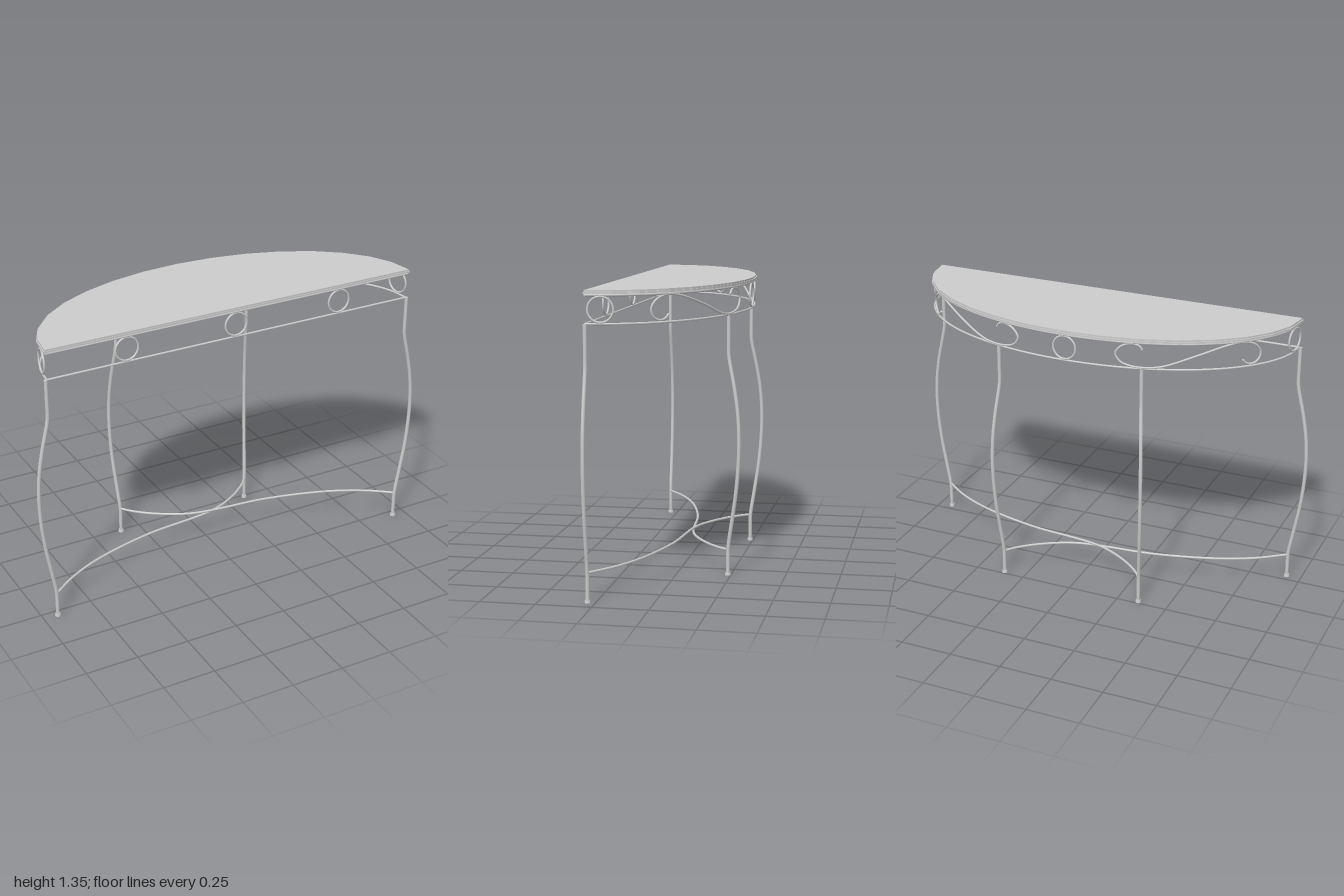
import * as THREE from 'three';

const material = new THREE.MeshStandardMaterial({ color: 0xcccccc });
const V = (x, y, z) => new THREE.Vector3(x, y, z);
const FRONT = 0.285;       // z of the straight edge
const A = 0.925, B = 0.574; // half width and depth of the half oval frame

// Point on the half oval at angle t (0 = +x end, PI = -x end)
const oval = (t, y, grow = 0) => V((A + grow) * Math.cos(t), y, FRONT - (B + grow) * Math.sin(t));

export function createModel() {
  const model = new THREE.Group();

  function add(name, geometry, parent = model) {
    const mesh = new THREE.Mesh(geometry, material);
    mesh.name = name;
    parent.add(mesh);
    return mesh;
  }

  // Round bar along a smooth curve, closed with caps
  function bar(name, points, radius, segments, parent = model, sides = 8) {
    const curve = new THREE.CatmullRomCurve3(points, false, 'centripetal');
    add(name, new THREE.TubeGeometry(curve, segments, radius, sides), parent);
    for (const u of [0, 1]) {
      const cap = add(name + 'End', new THREE.CircleGeometry(radius, sides), parent);
      cap.position.copy(curve.getPointAt(u));
      const out = curve.getTangentAt(u).multiplyScalar(u ? 1 : -1);
      cap.quaternion.setFromUnitVectors(V(0, 0, 1), out);
    }
  }

  // Half oval plate, extruded upwards
  function plate(name, grow, y, height) {
    const outline = [];
    for (let i = 0; i <= 16; i++) {
      const p = oval(Math.PI * i / 16, 0, grow);
      outline.push(new THREE.Vector2(p.x, -p.z - (i % 16 ? 0 : grow * 0.5)));
    }
    const geometry = new THREE.ExtrudeGeometry(new THREE.Shape(outline), { depth: height, bevelEnabled: false });
    geometry.rotateX(-Math.PI / 2);
    add(name, geometry).position.y = y;
  }
  plate('tabletopLip', 0.011, 1.334, 0.008);
  plate('tabletop', 0.006, 1.342, 0.008);

  // Upper and lower frame rails: half oval plus straight front bar
  for (const [name, y, r] of [['upperRail', 1.329, 0.006], ['lowerRail', 1.207, 0.005]]) {
    const points = [];
    for (let i = 0; i <= 16; i++) points.push(oval(Math.PI * i / 16, y));
    bar(name + 'Curved', points, r, 48);
    bar(name + 'Front', [V(-A, y, FRONT), V(A, y, FRONT)], r, 1);
  }

  // Rings between the rails
  function ring(name, position, turn = 0) {
    const mesh = add(name, new THREE.TorusGeometry(0.055, 0.005, 8, 28));
    mesh.position.copy(position);
    mesh.rotation.y = turn;
  }
  const ringY = 1.268;
  for (const x of [-0.545, 0, 0.545]) ring('frontRing', V(x, ringY, FRONT));
  for (const t of [0.113, Math.PI / 2, Math.PI - 0.113]) {
    ring('curvedSideRing', oval(t, ringY), Math.atan2(B * Math.cos(t), -A * Math.sin(t)));
  }

  // S scroll as x, y pairs, laid onto the half oval
  const scroll = [
    [0.36, 1.297], [0.345, 1.316], [0.31, 1.324], [0.265, 1.308], [0.24, 1.272],
    [0.262, 1.235], [0.31, 1.217], [0.38, 1.212], [0.45, 1.222], [0.58, 1.271],
    [0.71, 1.318], [0.765, 1.325], [0.805, 1.305], [0.822, 1.268], [0.815, 1.232],
    [0.795, 1.217], [0.775, 1.222], [0.76, 1.241],
  ];
  // Leg sway as height, outward offset
  const sway = [
    [0.005, 0], [0.07, 0], [0.13, 0.001], [0.25, 0.021], [0.38, 0.043], [0.5, 0.056], [0.62, 0.061],
    [0.75, 0.054], [0.87, 0.034], [0.96, 0.013], [1.02, 0.001], [1.1, 0], [1.207, 0],
  ];
  // Stretcher in plan as x, z
  const stretcher = [
    [-0.93, 0.285], [-0.8, 0.19], [-0.62, 0.105], [-0.32, 0.025], [-0.1, 0.002], [0, -0.01],
    [0.1, -0.038], [0.23, -0.112], [0.32, -0.19], [0.355, -0.237],
  ];

  function leg(name, x, z, dx, dz) {
    const group = new THREE.Group();
    group.name = name;
    model.add(group);
    bar('legBar', sway.map(([y, s]) => V(x + dx * s, y, z + dz * s)), 0.009, 40, group);
    const foot = add('foot', new THREE.CylinderGeometry(0.012, 0.014, 0.012, 12), group);
    foot.position.set(x, 0.006, z);
  }

  for (const side of [1, -1]) {
    const label = side > 0 ? 'left' : 'right';
    bar(label + 'Scroll', scroll.map(([x, y]) => oval(Math.acos(side * x / A), y)), 0.005, 90);
    leg(label + 'FrontLeg', side * 0.93, FRONT, side, 0);
    leg(label + 'BackLeg', side * 0.355, -0.237, side * 0.38, -0.86);
    // The two stretchers cross, one just above the other
    const y = side > 0 ? 0.12 : 0.132;
    bar(label + 'Stretcher', stretcher.map(([x, z]) => V(side * x, y, z)), 0.006, 40);
  }
  return model;
}
